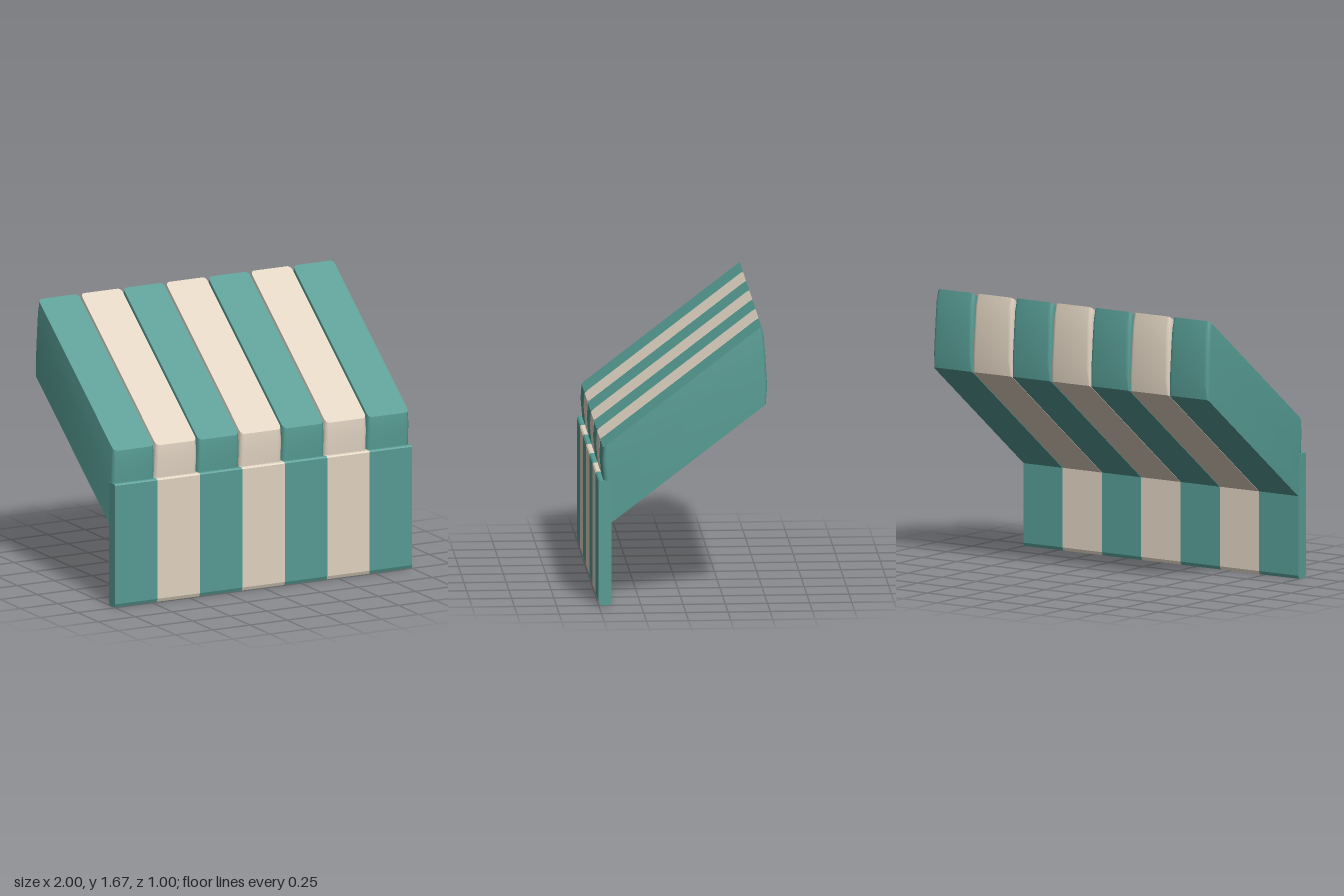
import * as THREE from 'three';
import { toCreasedNormals } from 'three/addons/utils/BufferGeometryUtils.js';

const COUNT = 7;
const PITCH = 2 / COUNT;
const SLOPE = 0.767;

// Levels of a canopy strip: height, half width, front z, back z, corner radius
const LEVELS = [
  [0, 0.141, 0.465, -0.49, 0.012],
  [0.09, 0.1425, 0.467, -0.5, 0.025],
  [0.29, 0.1415, 0.47, -0.489, 0.028],
  [0.41, 0.14, 0.48, -0.48, 0.028],
  [0.488, 0.136, 0.474, -0.465, 0.024],
];

// Rounded-rectangle sections stacked upward and sheared along the slope
function stripGeometry() {
  const pos = [], index = [], seg = 4, n = 4 * (seg + 1);
  const add = (x, z, h) => pos.push(x, 0.823 + h - SLOPE * z, z) / 3 - 1;
  for (const [h, w, front, back, r] of LEVELS) {
    for (let c = 0; c < 4; c++) {
      const cx = c === 0 || c === 3 ? w - r : r - w;
      const cz = c < 2 ? front - r : back + r;
      for (let s = 0; s <= seg; s++) {
        const a = (c + s / seg) * Math.PI / 2;
        add(cx + r * Math.cos(a), cz + r * Math.sin(a), h);
      }
    }
  }
  const last = (LEVELS.length - 1) * n;
  const bottom = add(0, 0, 0);
  const top = add(0, 0, LEVELS[LEVELS.length - 1][0]);
  for (let i = 0; i < n; i++) {
    const j = (i + 1) % n;
    for (let k = 0; k < last; k += n) {
      index.push(k + i, k + n + i, k + j, k + j, k + n + i, k + n + j);
    }
    index.push(bottom, i, j, top, last + j, last + i);
  }
  const g = new THREE.BufferGeometry();
  g.setAttribute('position', new THREE.Float32BufferAttribute(pos, 3));
  g.setIndex(index);
  return toCreasedNormals(g, 0.6);
}

// Hanging front panel with small chamfers along its long edges
function valanceGeometry() {
  const z0 = 0.424, z1 = 0.5, h = 0.75, b = 0.008, e = 0.02;
  const shape = new THREE.Shape([
    [z0 + b, 0], [z1 - b, 0], [z1, e], [z1, h - b],
    [z1 - b, h], [z0 + b, h], [z0, h - b], [z0, e],
  ].map(([x, y]) => new THREE.Vector2(x, y)));
  const g = new THREE.ExtrudeGeometry(shape, { depth: PITCH, bevelEnabled: false });
  return g.rotateY(-Math.PI / 2).translate(PITCH / 2, 0, 0);
}

export function createModel() {
  const teal = new THREE.MeshStandardMaterial({ color: 0x569b93 });
  teal.name = 'teal fabric';
  const cream = new THREE.MeshStandardMaterial({ color: 0xdfd2c0 });
  cream.name = 'cream fabric';

  const awning = new THREE.Group();
  awning.name = 'awning';
  const strip = stripGeometry();
  const valance = valanceGeometry();

  // Alternating stripes across the width
  for (let i = 0; i < COUNT; i++) {
    const material = i % 2 ? cream : teal;
    for (const [name, geometry] of [['canopyStrip', strip], ['valancePanel', valance]]) {
      const mesh = new THREE.Mesh(geometry, material);
      mesh.name = name + (i + 1);
      mesh.position.x = (i - (COUNT - 1) / 2) * PITCH;
      awning.add(mesh);
    }
  }
  return awning;
}
